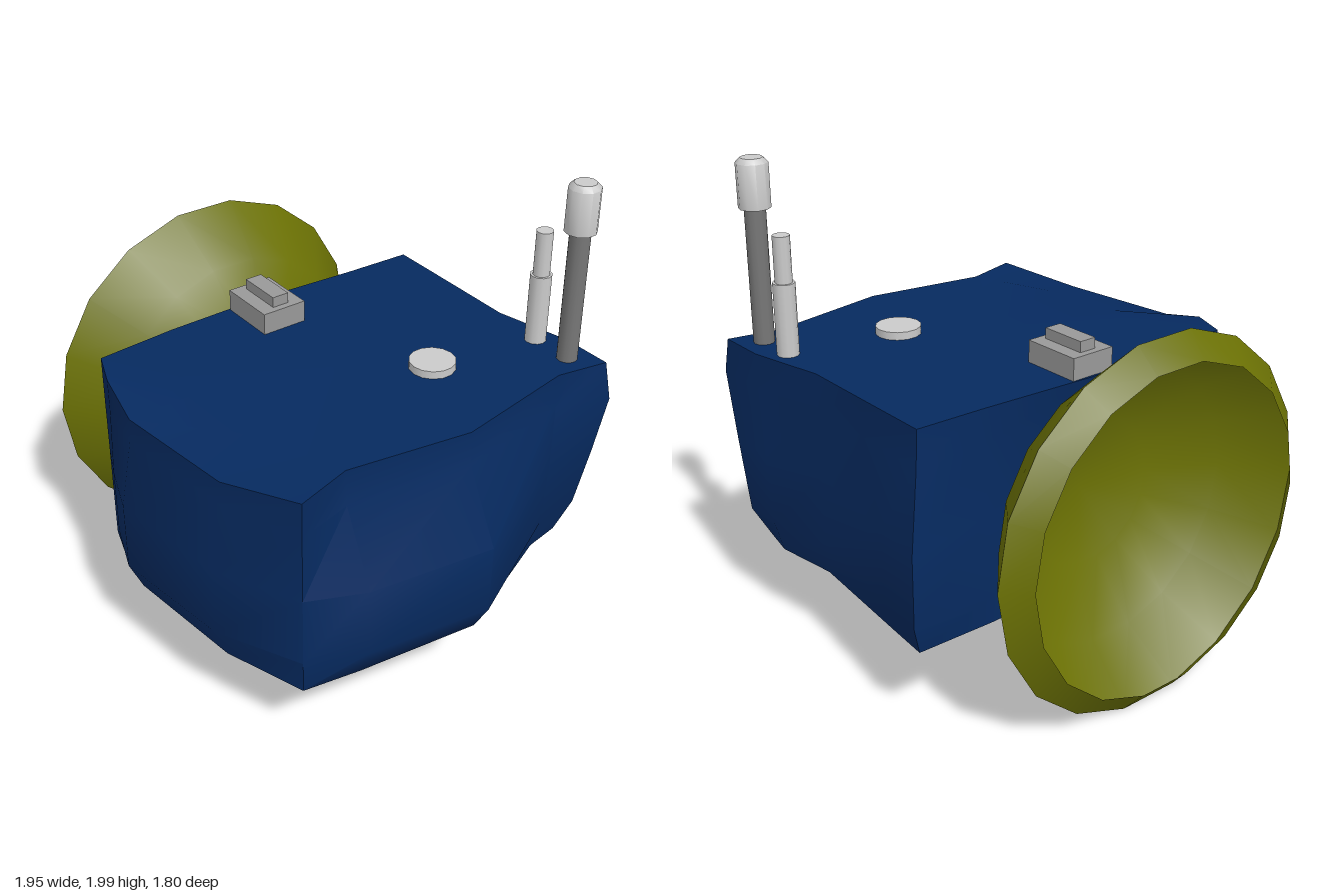
import * as THREE from 'three';
import { toCreasedNormals } from 'three/addons/utils/BufferGeometryUtils.js';

const paint = (color, side = THREE.FrontSide) => new THREE.MeshStandardMaterial({ color, side });

// Lumpy body: rings of 16 [x, z] points, counter-clockwise from above,
// starting at the front corner on the dish side
const TOP = [[-.46, .75], [-.3, .81], [-.08, .84], [.46, .78], [.8, .66], [.73, .42], [.81, -.1], [.71, -.64],
  [.75, -.86], [.53, -.86], [.2, -.79], [-.1, -.795], [-.46, -.8], [-.47, -.5], [-.5, 0], [-.49, .4]];
const SHOULDER = [[-.46, .75], [-.3, .81], [-.08, .845], [.46, .785], [.8, .66], [.74, .42], [.82, -.1], [.71, -.64],
  [.79, -.86], [.53, -.86], [.2, -.79], [-.12, -.8], [-.465, -.81], [-.465, -.5], [-.46, 0], [-.46, .4]];
const UPPER = [[-.46, .75], [-.3, .82], [-.08, .9], [.46, .83], [.8, .66], [.9, .43], [.975, -.1], [.71, -.64],
  [.73, -.86], [.51, -.86], [.2, -.79], [-.3, -.86], [-.55, -.9], [-.48, -.5], [-.45, 0], [-.455, .4]];
const LOWER = [[-.46, .75], [-.3, .82], [-.08, .9], [.46, .83], [.8, .66], [.9, .43], [.975, -.1], [.69, -.64],
  [.66, -.86], [.5, -.85], [.2, -.79], [-.3, -.86], [-.55, -.9], [-.53, -.5], [-.48, 0], [-.53, .55]];
const BASE = [[-.46, .75], [-.3, .8], [-.08, .84], [.46, .78], [.8, .66], [.84, .42], [.9, -.1], [.66, -.63],
  [.63, -.79], [.48, -.82], [.2, -.78], [-.3, -.83], [-.51, -.85], [-.52, -.5], [-.5, 0], [-.53, .55]];

function bodyGeometry() {
  const cx = .15, n = 16;
  const level = (ring, y) => ring.map(([x, z]) => [x, y, z]);
  const shrink = (ring, s) => ring.map(([x, z]) => [cx + (x - cx) * s, z * s]);
  const rings = [
    shrink(BASE, .74).map(([x, z]) => [x, .31 - .045 * x, z]),
    level(BASE, .365),
    level(LOWER, .5),
    level(UPPER, .8),
    level(SHOULDER, 1.09),
    TOP.map(([x, z], i) => [x, i === 2 || i === 3 ? 1.185 : 1.24, z]),
    level(shrink(TOP, .7), 1.24),
  ];
  const pos = rings.flat(2), idx = [];
  const low = n * rings.length, high = low + 1, last = low - n;
  pos.push(.13, .225, -.05, cx, 1.24, 0);
  for (let i = 0; i < n; i++) {
    const j = (i + 1) % n;
    for (let a = 0; a < last; a += n) {
      idx.push(a + i, a + j, a + n + j, a + i, a + n + j, a + n + i);
    }
    idx.push(low, j, i, high, last + i, last + j);
  }
  const g = new THREE.BufferGeometry();
  g.setAttribute('position', new THREE.Float32BufferAttribute(pos, 3));
  g.setIndex(idx);
  return toCreasedNormals(g, .75);
}

export function createModel() {
  const model = new THREE.Group();
  const light = paint(0xcccccc), dark = paint(0x777777), mid = paint(0x999999);
  const add = (name, geometry, material, x = 0, y = 0, z = 0, parent = model) => {
    const mesh = new THREE.Mesh(geometry, material);
    mesh.name = name;
    mesh.position.set(x, y, z);
    parent.add(mesh);
    return mesh;
  };
  const group = name => {
    const g = new THREE.Group();
    g.name = name;
    model.add(g);
    return g;
  };
  // Upright part spanning y0 to y1
  const rod = (name, mat, r, y0, y1, x, z, parent, sides = 12) =>
    add(name, new THREE.CylinderGeometry(r, r, y1 - y0, sides), mat, x, (y0 + y1) / 2, z, parent);
  const points = list => list.map(p => new THREE.Vector2(...p));

  add('body', bodyGeometry(), paint(0x062a60));

  // Open bowl on the side, with an inturned lip
  const bowl = points([[0, .468], [.31, .517], [.58, .667], [.77, .89], [.67, .975]]);
  const dish = add('dish', toCreasedNormals(new THREE.LatheGeometry(bowl, 18), .7),
    paint(0x6c7204, THREE.DoubleSide), 0, .765, -.02);
  dish.rotation.z = Math.PI / 2;

  // Tall antenna with chamfered cap
  const tall = group('tallAntenna');
  rod('tallAntennaPost', dark, .043, 1.23, 1.8, .63, -.76, tall);
  const cap = points([[0, 1.8], [.065, 1.8], [.065, 1.98], [.045, 2], [0, 2]]);
  add('tallAntennaCap', toCreasedNormals(new THREE.LatheGeometry(cap, 10), .8), light, .63, 0, -.76, tall);

  // Short two-step antenna
  const short = group('shortAntenna');
  rod('shortAntennaBase', light, .045, 1.23, 1.54, .447, -.76, short);
  rod('shortAntennaTip', light, .035, 1.54, 1.73, .447, -.76, short);

  // Round button on the roof
  rod('roofButton', light, .095, 1.23, 1.273, .367, -.28, model, 14);

  // Stepped box near the dish
  const box = group('roofBox');
  add('roofBoxBase', new THREE.BoxGeometry(.26, .1, .2), mid, -.36, 1.283, .015, box);
  add('roofBoxTop', new THREE.BoxGeometry(.2, .045, .075), mid, -.36, 1.3555, .013, box);

  return model;
}
